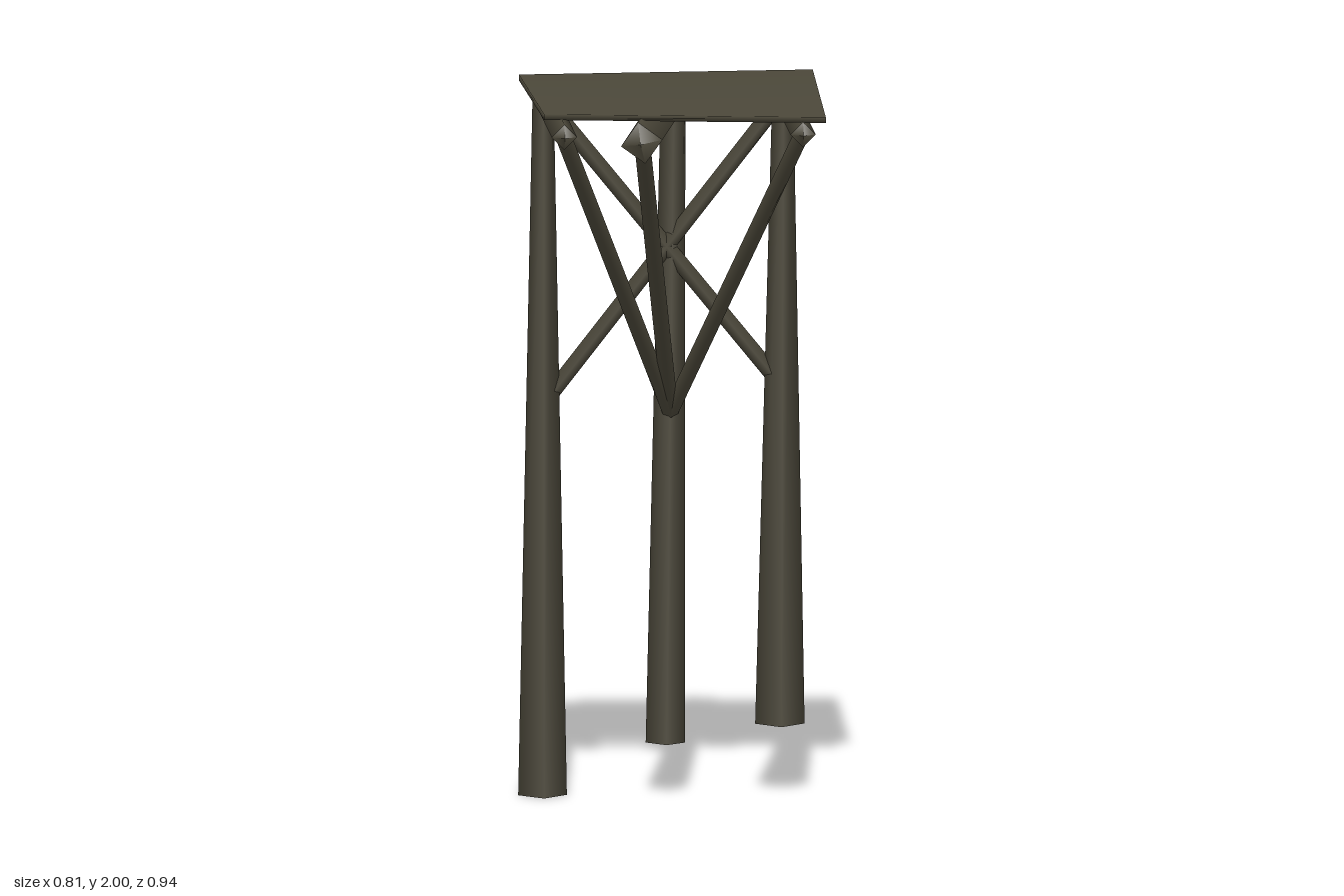
import * as THREE from 'three';

const wood = new THREE.MeshStandardMaterial({ color: 0x4c483a });
wood.name = 'weatheredWood';

// Four-sided log from a to b, with optional pointed ends of length tip
function log(name, a, b, r0, r1 = r0, tip = 0) {
  const start = new THREE.Vector3(...a), end = new THREE.Vector3(...b);
  const dir = end.clone().sub(start);
  const length = dir.length() - 2 * tip;
  const group = new THREE.Group();
  group.name = name;
  group.add(new THREE.Mesh(new THREE.CylinderGeometry(r1, r0, length, 4, 1, tip > 0), wood));
  if (tip > 0) {
    for (const s of [-1, 1]) {
      const cone = new THREE.Mesh(new THREE.ConeGeometry(s > 0 ? r1 : r0, tip, 4, 1, true), wood);
      cone.position.y = s * (length + tip) / 2;
      if (s < 0) cone.rotation.x = Math.PI;
      group.add(cone);
    }
  }
  group.position.copy(start).add(end).multiplyScalar(0.5);
  group.quaternion.setFromUnitVectors(new THREE.Vector3(0, 1, 0), dir.normalize());
  group.children.forEach((m) => { m.name = name; });
  return group;
}

// Uneven slab with shared corners, so its shading is soft
function slab(corners, thickness) {
  const top = corners.flat();
  const bottom = corners.map(([x, y, z]) => [x, y - thickness, z]).flat();
  const index = [0, 2, 1, 0, 3, 2, 4, 5, 6, 4, 6, 7];
  for (let i = 0; i < 4; i++) {
    const j = (i + 1) % 4;
    index.push(i, j, j + 4, i, j + 4, i + 4);
  }
  const geo = new THREE.BufferGeometry();
  geo.setAttribute('position', new THREE.Float32BufferAttribute([...top, ...bottom], 3));
  geo.setIndex(index);
  geo.computeVertexNormals();
  return geo;
}

export function createModel() {
  const model = new THREE.Group();
  model.name = 'leanToShelter';

  // Platform roof
  const roof = new THREE.Mesh(slab([
    [-0.403, 1.993, -0.375], [0.405, 2.0, -0.363],
    [0.383, 1.987, 0.43], [-0.385, 1.988, 0.325],
  ], 0.016), wood);
  roof.name = 'roof';
  model.add(roof);

  // Tapered posts of unequal depth
  model.add(
    log('rightPost', [-0.342, 0, -0.32], [-0.34, 1.95, -0.325], 0.067, 0.029),
    log('middlePost', [-0.003, 0.14, -0.333], [0.02, 1.92, -0.36], 0.054, 0.034),
    log('leftPost', [0.312, 0.19, -0.328], [0.32, 1.95, -0.325], 0.068, 0.029),
  );

  // Beams under the roof
  model.add(
    log('rightBeam', [-0.337, 1.94, -0.375], [-0.337, 1.94, 0.46], 0.035, 0.035, 0.025),
    log('middleBeam', [0.034, 1.922, -0.47], [-0.13, 1.922, 0.47], 0.058, 0.058, 0.032),
    log('leftBeam', [0.32, 1.94, -0.375], [0.32, 1.94, 0.46], 0.035, 0.035, 0.025),
  );

  // Crossed braces between the outer posts
  model.add(
    log('crossBrace', [0.3, 1.15, -0.33], [-0.335, 1.93, -0.33], 0.022),
    log('crossBrace', [-0.32, 1.11, -0.33], [0.32, 1.93, -0.33], 0.022),
  );

  // Struts fanning from the middle post to the beams
  for (const [x, y] of [[-0.33, 1.92], [-0.115, 1.9], [0.32, 1.92]]) {
    model.add(log('roofStrut', [0.01, 1.06, -0.32], [x, y, 0.34], 0.022));
  }
  return model;
}
